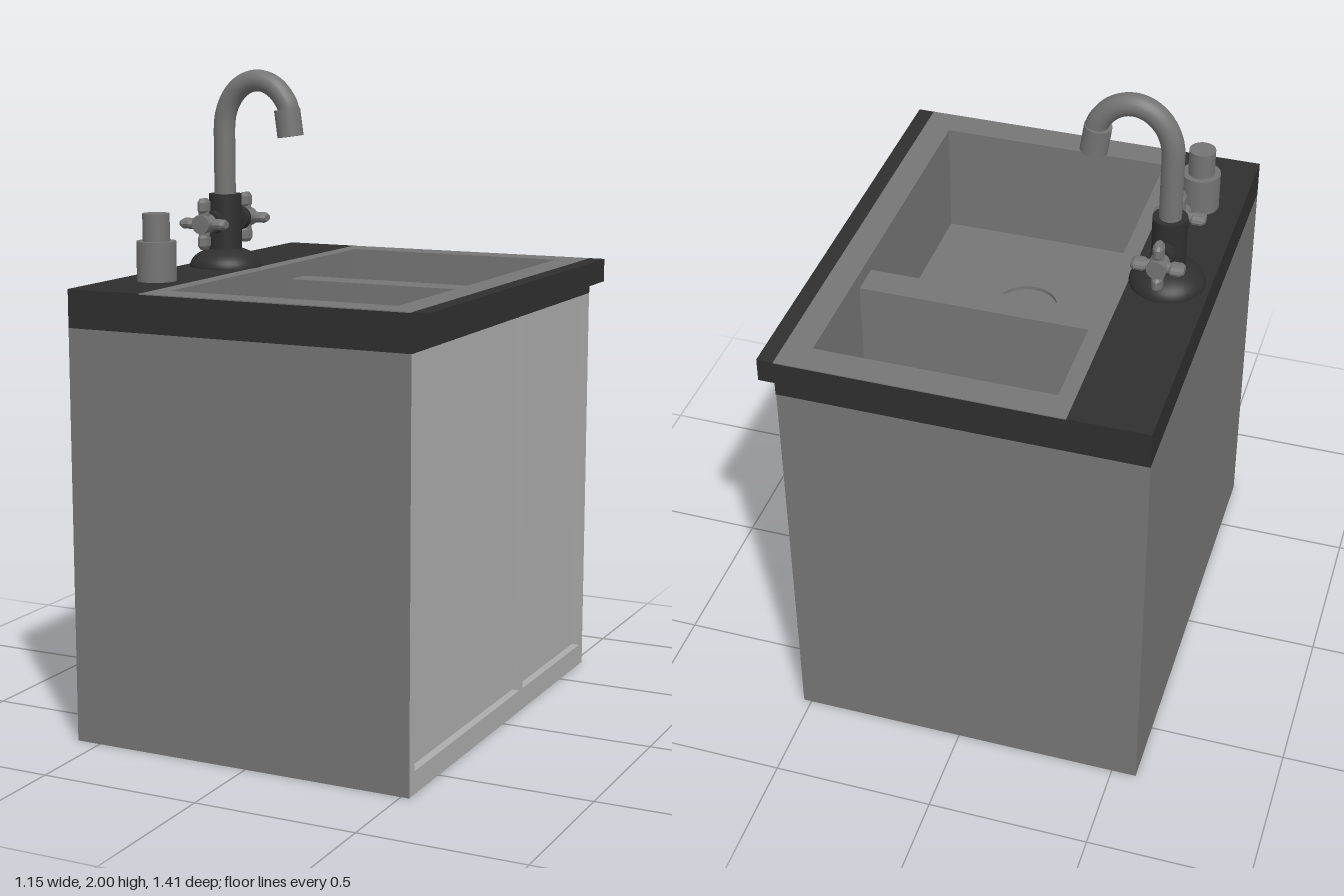
import * as THREE from 'three';

const mat = (color) => new THREE.MeshStandardMaterial({ color });
const panelMat = mat(0x767676);
const doorMat = mat(0xacacac);
const darkMat = mat(0x2f2f2f);
const metalMat = mat(0x747474);

function add(parent, name, geometry, material) {
  const mesh = new THREE.Mesh(geometry, material);
  mesh.name = name;
  parent.add(mesh);
  return mesh;
}

// Box given by its limits on each axis
function box(parent, name, material, [x0, x1], [y0, y1], [z0, z1]) {
  const mesh = add(parent, name, new THREE.BoxGeometry(x1 - x0, y1 - y0, z1 - z0), material);
  mesh.position.set((x0 + x1) / 2, (y0 + y1) / 2, (z0 + z1) / 2);
}

// Horizontal plate with a rectangular opening
function plateWithHole(parent, name, material, xs, zs, holeXs, holeZs, [y0, y1]) {
  const rect = (PathType, [a, b], [c, d]) =>
    new PathType([[a, d], [b, d], [b, c], [a, c]].map(([x, z]) => new THREE.Vector2(x, -z)));
  const shape = rect(THREE.Shape, xs, zs);
  shape.holes.push(rect(THREE.Path, holeXs, holeZs));
  const geo = new THREE.ExtrudeGeometry(shape, { depth: y1 - y0, bevelEnabled: false });
  geo.rotateX(-Math.PI / 2).translate(0, y0, 0);
  add(parent, name, geo, material);
}

function cylinder(parent, name, material, radius, height, x, y, z, segments = 32) {
  const mesh = add(parent, name, new THREE.CylinderGeometry(radius, radius, height, segments), material);
  mesh.position.set(x, y, z);
  return mesh;
}

const BACK = -0.577, FRONT = 0.527, LIP = 0.577, HALF = 0.707;
const TOP = 1.38, UNDER = 1.265;

function makeCabinet() {
  const g = new THREE.Group();
  g.name = 'cabinet';
  const t = 0.03, inset = FRONT - 0.025, skin = 0.002;
  box(g, 'bottomPanel', panelMat, [BACK, FRONT - skin], [0, t], [-HALF, HALF]);
  box(g, 'backPanel', panelMat, [BACK, BACK + t], [t, UNDER], [-HALF, HALF]);
  for (const z of [[-HALF, t - HALF], [HALF - t, HALF]]) {
    box(g, 'sidePanel', panelMat, [BACK + t, FRONT - skin], [t, UNDER], z);
  }
  // Face frame standing proud of the doors
  const face = [inset - 0.02, FRONT], edge = HALF - skin;
  box(g, 'bottomRail', doorMat, face, [skin, 0.07], [-edge, edge]);
  for (const z of [[-edge, -0.675], [-0.153, -0.128], [0.676, edge]]) {
    box(g, 'stile', doorMat, face, [0.07, UNDER], z);
  }
  for (const z of [[-0.675, -0.153], [-0.128, 0.676]]) {
    box(g, 'door', doorMat, [inset - 0.02, inset], [0.07, UNDER], z);
  }
  return g;
}

function makeCounterAndSink() {
  const g = new THREE.Group();
  g.name = 'counter';
  const bx = [-0.285, 0.442], bz = [-0.613, 0.611], floor = 1.01, w = 0.012;
  const outerX = [bx[0] - w, bx[1] + w], outerZ = [bz[0] - w, bz[1] + w];
  const rimBottom = TOP - 0.003, depth = [-HALF, HALF];
  // Dark worktop, faucet ledge and front lip
  plateWithHole(g, 'worktop', darkMat, [BACK, FRONT], depth, outerX, outerZ, [UNDER, rimBottom]);
  box(g, 'faucetLedge', darkMat, [BACK, -0.335], [rimBottom, TOP], depth);
  box(g, 'frontLip', darkMat, [FRONT, LIP], [1.306, TOP], depth);
  plateWithHole(g, 'sinkRim', panelMat, [-0.335, FRONT], depth, bx, bz, [rimBottom, TOP]);
  // Basin walls, floor and low divider
  plateWithHole(g, 'basinWalls', panelMat, outerX, outerZ, bx, bz, [floor, rimBottom]);
  box(g, 'basinFloor', panelMat, outerX, [floor - w, floor], outerZ);
  box(g, 'basinDivider', panelMat, bx, [floor, 1.33], [-0.237, -0.138]);
  // Drains: raised ring around a flat disc
  const ring = [[0.119, 0], [0.119, 0.012], [0.097, 0.012], [0.097, 0]].map(([r, y]) => new THREE.Vector2(r, y));
  const ringGeo = new THREE.LatheGeometry(ring, 40).toNonIndexed();
  ringGeo.computeVertexNormals();
  for (const z of [-0.43, 0.23]) {
    add(g, 'drainRing', ringGeo, panelMat).position.set(0.06, floor, z);
  }
  return g;
}

// Cross handle in the x-y plane, centred on its own origin
function makeHandle() {
  const g = new THREE.Group();
  g.name = 'crossHandle';
  cylinder(g, 'hub', metalMat, 0.03, 0.052, 0, 0, 0, 16).rotation.x = Math.PI / 2;
  // Bevelled knob, flattened across the arm
  const profile = [[0, -0.02], [0.02, -0.02], [0.028, -0.012], [0.028, 0.014], [0.018, 0.025], [0, 0.025]];
  const knobGeo = new THREE.LatheGeometry(profile.map(([x, y]) => new THREE.Vector2(x, y)), 12).toNonIndexed();
  knobGeo.computeVertexNormals();
  for (let i = 0; i < 4; i++) {
    const arm = new THREE.Group();
    arm.name = 'handleArm';
    arm.rotation.z = i * Math.PI / 2;
    cylinder(arm, 'armRod', metalMat, 0.017, 0.05, 0, 0.035, 0, 12);
    const knob = add(arm, 'armKnob', knobGeo, metalMat);
    knob.position.y = 0.054;
    knob.scale.x = 0.62;
    g.add(arm);
  }
  return g;
}

function makeFaucet() {
  const g = new THREE.Group();
  g.name = 'faucet';
  g.position.set(-0.445, TOP, 0);
  // Domed base and upright body
  const dome = add(g, 'domeBase', new THREE.SphereGeometry(0.115, 32, 12, 0, Math.PI * 2, 0, Math.PI / 2), darkMat);
  dome.scale.y = 0.55;
  cylinder(g, 'body', darkMat, 0.052, 0.21, 0, 0.125, 0);
  // Gooseneck spout: straight riser, then a tall elliptical bend
  const rx = 0.12, ry = 0.151, bendY = 0.435, pts = [];
  for (let i = 0; i < 4; i++) pts.push(new THREE.Vector3(0, 0.2 + (bendY - 0.2) * i / 4, 0));
  for (let i = 0; i <= 12; i++) {
    const a = Math.PI - i / 12 * (Math.PI - 0.5);
    pts.push(new THREE.Vector3(rx + rx * Math.cos(a), bendY + ry * Math.sin(a), 0));
  }
  pts.push(new THREE.Vector3(0.233, 0.45, 0));
  add(g, 'spout', new THREE.TubeGeometry(new THREE.CatmullRomCurve3(pts), 60, 0.034, 20, false), metalMat);
  cylinder(g, 'nozzle', metalMat, 0.041, 0.085, 0.229, 0.457, 0).rotation.z = 0.14;
  // Valves and cross handles on both sides
  for (const s of [-1, 1]) {
    cylinder(g, 'valveStem', darkMat, 0.026, 0.1, 0, 0.145, s * 0.08, 20).rotation.x = Math.PI / 2;
    cylinder(g, 'valveCollar', darkMat, 0.037, 0.03, 0, 0.145, s * 0.088, 20).rotation.x = Math.PI / 2;
    const handle = makeHandle();
    handle.position.set(0, 0.145, s * 0.135);
    g.add(handle);
  }
  return g;
}

function makeDispenser() {
  const g = new THREE.Group();
  g.name = 'soapDispenser';
  g.position.set(-0.445, TOP, 0.423);
  cylinder(g, 'dispenserBase', metalMat, 0.06, 0.12, 0, 0.06, 0);
  cylinder(g, 'dispenserCap', metalMat, 0.041, 0.083, 0, 0.1615, 0);
  return g;
}

export function createModel() {
  const model = new THREE.Group();
  model.name = 'sinkCabinet';
  model.add(makeCabinet(), makeCounterAndSink(), makeFaucet(), makeDispenser());
  return model;
}
